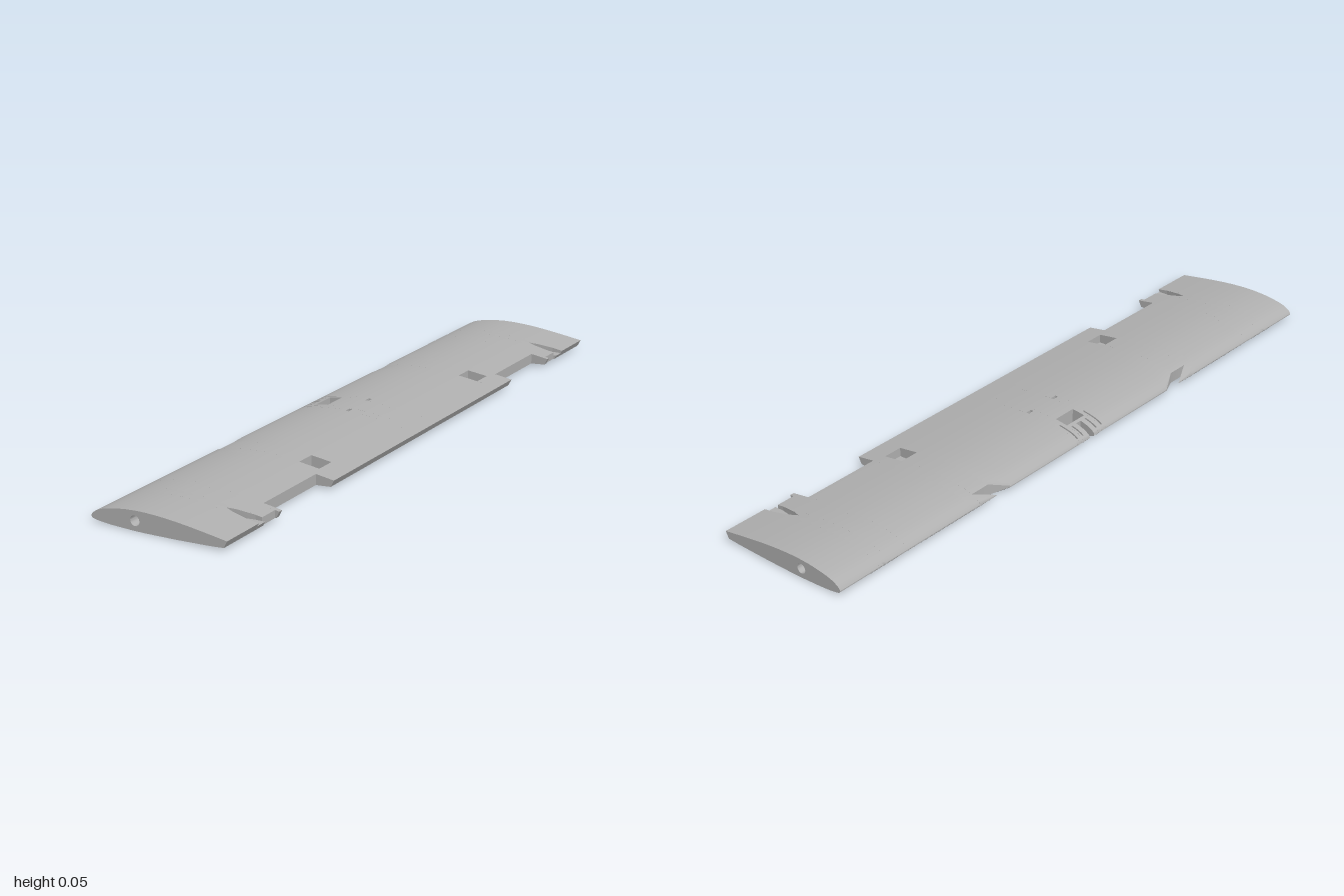
import * as THREE from 'three';
import { mergeGeometries, toCreasedNormals } from 'three/addons/utils/BufferGeometryUtils.js';

// Airfoil skin stations: [x, y]
const TOP = [[-0.204, 0.017], [-0.2, 0.024], [-0.18, 0.036], [-0.15, 0.0445], [-0.1, 0.052], [-0.05, 0.0545],
  [0, 0.053], [0.05, 0.049], [0.1, 0.043], [0.15, 0.036], [0.203, 0.028]];
const BOTTOM = [[-0.204, 0.014], [-0.2, 0.01], [-0.18, 0.006], [-0.15, 0.003], [-0.1, 0.001], [-0.05, 0],
  [0, 0.001], [0.05, 0.002], [0.1, 0.004], [0.15, 0.006], [0.193, 0.009]];
const LE = -0.204, TE = 0.203, TE_LOW = 0.193;
const SPAR = { x: -0.07, y: 0.027, r: 0.014 };

// Smooth interpolation through the stations
function skin(table, x) {
  const last = table.length - 1;
  let i = 0;
  while (i < last - 1 && x > table[i + 1][0]) i++;
  const slope = k => {
    const a = table[Math.max(k - 1, 0)], b = table[Math.min(k + 1, last)];
    return (b[1] - a[1]) / (b[0] - a[0]);
  };
  const [x0, y0] = table[i], [x1, y1] = table[i + 1];
  const h = x1 - x0, t = THREE.MathUtils.clamp((x - x0) / h, 0, 1), u = 1 - t;
  return y0 * (1 + 2 * t) * u * u + h * slope(i) * t * u * u
    + y1 * t * t * (3 - 2 * t) - h * slope(i + 1) * t * t * u;
}

// Points along one skin from a to b, closer together near a
function run(table, a, b, n = 16) {
  const pts = [];
  for (let i = 0; i <= n; i++) {
    const x = a + (b - a) * Math.pow(i / n, 1.6);
    pts.push(new THREE.Vector2(x, skin(table, x)));
  }
  return pts;
}

// One skin with recesses [x0, x1, y] cut into it, listed from front to back
function cutSkin(table, from, to, cuts) {
  const pts = [];
  let x = from;
  for (const [x0, x1, y] of cuts) {
    pts.push(...run(table, x, x0), new THREE.Vector2(x0, y), new THREE.Vector2(x1, y));
    x = x1;
  }
  // A recess that reaches the trailing edge stays open there
  if (x < 0.199) pts.push(...run(table, x, to));
  return pts;
}

// Cross-section of the wing: outline plus spar hole
function section({ from = LE, to = TE, top = [], bottom = [], spar = true } = {}) {
  const outline = [
    ...cutSkin(BOTTOM, from, Math.min(to, TE_LOW), bottom),
    ...cutSkin(TOP, from, to, top).reverse(),
  ];
  const hole = [];
  if (spar) {
    for (let i = 0; i < 24; i++) {
      const a = -i / 24 * Math.PI * 2;
      hole.push(new THREE.Vector2(SPAR.x + SPAR.r * Math.cos(a), SPAR.y + SPAR.r * Math.sin(a)));
    }
  }
  return { outline, hole };
}

// Closed solid lofted between two matching sections
function loft(a, b, z0, z1) {
  const pos = [];
  const put = (p, z) => pos.push(p.x, p.y, z);
  for (const key of ['outline', 'hole']) {
    const n = a[key].length;
    for (let i = 0; i < n; i++) {
      const j = (i + 1) % n;
      const a0 = a[key][i], a1 = a[key][j], b0 = b[key][i], b1 = b[key][j];
      put(a0, z0); put(a1, z0); put(b1, z1);
      put(a0, z0); put(b1, z1); put(b0, z1);
    }
  }
  for (const [s, z, order] of [[a, z0, [2, 1, 0]], [b, z1, [0, 1, 2]]]) {
    const all = [...s.outline, ...s.hole];
    const faces = THREE.ShapeUtils.triangulateShape(s.outline.slice(), s.hole.length ? [s.hole.slice()] : []);
    for (const f of faces) for (const k of order) put(all[f[k]], z);
  }
  const g = new THREE.BufferGeometry();
  g.setAttribute('position', new THREE.Float32BufferAttribute(pos, 3));
  return g;
}

export function createModel() {
  const group = new THREE.Group();
  const grey = new THREE.MeshStandardMaterial({ color: 0xb0b0b0 });
  grey.name = 'wing grey';

  const parts = [];
  // Add a spanwise slab on both halves of the wing
  const slab = (z0, z1, start = {}, end = start) => {
    const a = section(start), b = section(end);
    parts.push(loft(a, b, z0, z1), loft(b, a, -z1, -z0));
  };

  // Centre mount: nose slot, window, grooves and screw pits
  const aft = { from: -0.105 };
  const nose = { to: -0.145, spar: false };
  const groove = [-0.195, -0.155, 0.018];
  const pit = [-0.03, -0.02, 0.02];
  slab(0, 0.01, { from: -0.155, to: -0.145, spar: false });
  slab(0, 0.038, aft);
  slab(0.01, 0.027, nose);
  slab(0.027, 0.032, { ...nose, top: [groove] });
  slab(0.032, 0.038, nose);
  slab(0.038, 0.045);
  slab(0.045, 0.051, { top: [pit] });
  slab(0.051, 0.056, { top: [[-0.195, -0.13, 0.018], pit] });
  slab(0.056, 0.065, { top: [pit] });
  slab(0.065, 0.35);

  // Slanted cable slot running from the nose to the servo bay
  const ceil = 0.0378, open = -0.175;
  const slot = (x0, x1) => ({ bottom: [[x0, x1, ceil]] });
  const hatch = [0.075, 0.137, 0.012];
  const slotAt = z => slot(open + (z - 0.475) * 0.46, -0.145 + (z - 0.475) * 0.46);
  slab(0.35, 0.41, { from: LE }, { from: open });
  slab(0.41, 0.475, { to: LE, spar: false }, { to: open, spar: false });
  // Aft of the opening, with the square hatch in the top skin
  const behind = z => ({ from: open, bottom: [[open, open + (z - 0.41) * 0.46, ceil]] });
  slab(0.41, 0.415, behind(0.41), behind(0.415));
  slab(0.415, 0.475, { ...behind(0.415), top: [hatch] }, { ...behind(0.475), top: [hatch] });
  slab(0.475, 0.51, slotAt(0.475), slotAt(0.51));

  // Control surface cut-out, with the servo bay underneath
  const short = { to: 0.148 };
  slab(0.51, 0.605, { ...slotAt(0.51), ...short }, { ...slotAt(0.605), ...short });
  slab(0.605, 0.685, { ...short, bottom: [[-0.145, -0.088, 0.04]] });
  slab(0.685, 0.757, short);
  slab(0.757, 0.77);

  // Outer bay across the spar, with the hinge recess at the trailing edge
  const bay = { bottom: [[-0.125, -0.02, 0.045]], spar: false };
  const hinge = x => ({ ...bay, top: [[x, 0.199, 0.02]] });
  slab(0.77, 0.79, { to: 0.19 });
  slab(0.79, 0.828, { ...bay, to: 0.19 });
  slab(0.828, 0.836, hinge(0.17), hinge(0.12));
  slab(0.836, 0.845, hinge(0.12), hinge(0.095));
  slab(0.845, 0.854, hinge(0.095), hinge(0.12));
  slab(0.854, 0.862, hinge(0.12), hinge(0.17));
  slab(0.862, 0.89, bay);
  slab(0.89, 1);

  const wing = new THREE.Mesh(toCreasedNormals(mergeGeometries(parts), 0.5), grey);
  wing.name = 'wing';
  group.add(wing);
  return group;
}
